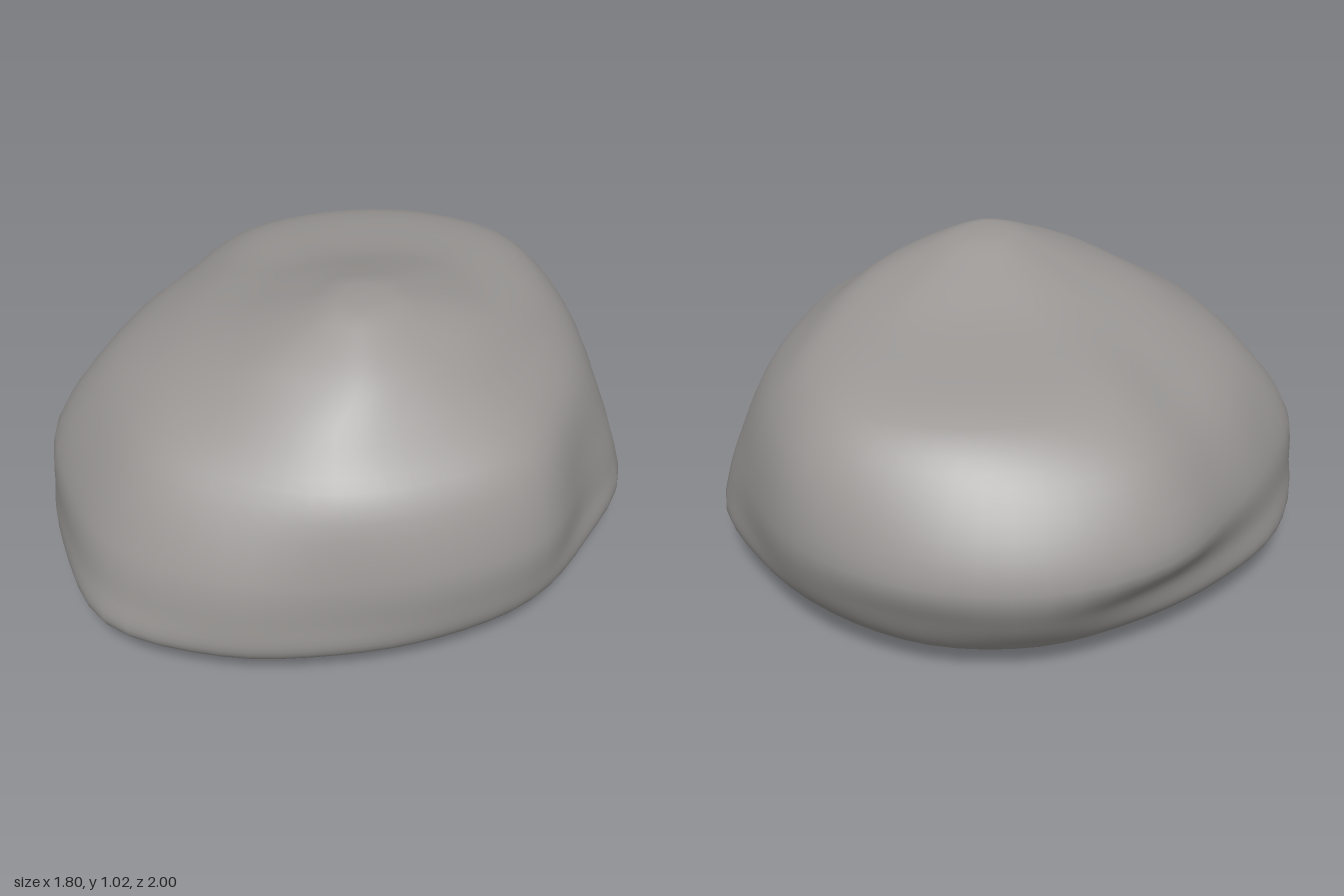
import * as THREE from 'three';

// Horizontal sections of the boulder: height, centre x/z, scale and radii
// at equal angles, running from +x through +z.
const BASE = [.87, .84, .85, .92, 1, .94, .925, .885, .83, .825, .87, .9, .905, .92, .97, .885];
const LOW = [.895, .865, .86, .925, .98, .935, .925, .87, .84, .865, .955, .965, .965, .935, .955, .87];
const MID = [.9, .87, .855, .9, .94, .91, .91, .85, .86, .96, 1.01, 1.02, .995, .93, .905, .85];
const HIGH = [.82, .79, .785, .78, .8, .755, .74, .72, .74, .86, .895, .925, .94, .86, .8, .78];
const SHOULDER = [.63, .625, .64, .61, .58, .545, .51, .49, .51, .64, .71, .77, .8, .73, .65, .62];
const CROWN = [.37, .38, .405, .405, .41, .38, .35, .33, .34, .36, .365, .4, .43, .41, .4, .38];

const SECTIONS = [
  { y: 0, x: -0.15, z: 0.08, s: 0, r: BASE },
  { y: 0.032, x: -0.05, z: 0.03, s: 0.6, r: BASE },
  { y: 0.09, x: 0, z: 0, s: 0.92, r: BASE },
  { y: 0.155, x: 0, z: 0, s: 1, r: BASE },
  { y: 0.27, x: 0, z: 0, s: 1, r: LOW },
  { y: 0.42, x: 0, z: 0, s: 1, r: MID },
  { y: 0.65, x: 0, z: 0, s: 1, r: HIGH },
  { y: 0.8, x: 0, z: 0, s: 1, r: SHOULDER },
  { y: 0.9, x: 0.13, z: 0.03, s: 1, r: CROWN },
  { y: 0.97, x: 0.18, z: 0.07, s: 0.55, r: CROWN },
  { y: 1.01, x: 0.2, z: 0.09, s: 0.25, r: CROWN },
  { y: 1.018, x: 0.2, z: 0.09, s: 0, r: CROWN },
];

const AROUND = 64;
const UP = 55;

// Smooth closed loop through one section
function sectionLoop({ y, x, z, s, r }) {
  const points = r.map((radius, i) => {
    const a = (i / r.length) * Math.PI * 2;
    return new THREE.Vector3(x + Math.cos(a) * radius * s, y, z + Math.sin(a) * radius * s);
  });
  const curve = new THREE.CatmullRomCurve3(points, true, 'catmullrom', 0.5);
  return Array.from({ length: AROUND }, (_, i) => curve.getPoint(i / AROUND));
}

// Skin the loops with smooth curves running from underside to peak
function boulderGeometry() {
  const loops = SECTIONS.map(sectionLoop);
  const positions = [];
  const indices = [];
  const id = (i, j) => {
    if (j === 0) return 0;
    if (j === UP) return 1;
    return 2 + (i % AROUND) * (UP - 1) + j - 1;
  };

  // Shared bottom and top points
  positions.push(...loops[0][0].toArray(), ...loops[loops.length - 1][0].toArray());
  for (let i = 0; i < AROUND; i++) {
    const rib = new THREE.CatmullRomCurve3(loops.map((loop) => loop[i]));
    for (let j = 1; j < UP; j++) positions.push(...rib.getPoint(j / UP).toArray());
  }

  for (let i = 0; i < AROUND; i++) {
    for (let j = 0; j < UP; j++) {
      const a = id(i, j), b = id(i + 1, j), c = id(i + 1, j + 1), d = id(i, j + 1);
      if (j < UP - 1) indices.push(a, d, c);
      if (j > 0) indices.push(a, c, b);
    }
  }

  const geometry = new THREE.BufferGeometry();
  geometry.setAttribute('position', new THREE.Float32BufferAttribute(positions, 3));
  geometry.setIndex(indices);
  geometry.computeVertexNormals();
  return geometry;
}

export function createModel() {
  const group = new THREE.Group();
  group.name = 'rock';
  const boulder = new THREE.Mesh(
    boulderGeometry(),
    new THREE.MeshStandardMaterial({ color: 0x9b9896 }),
  );
  boulder.name = 'boulder';
  group.add(boulder);
  return group;
}
